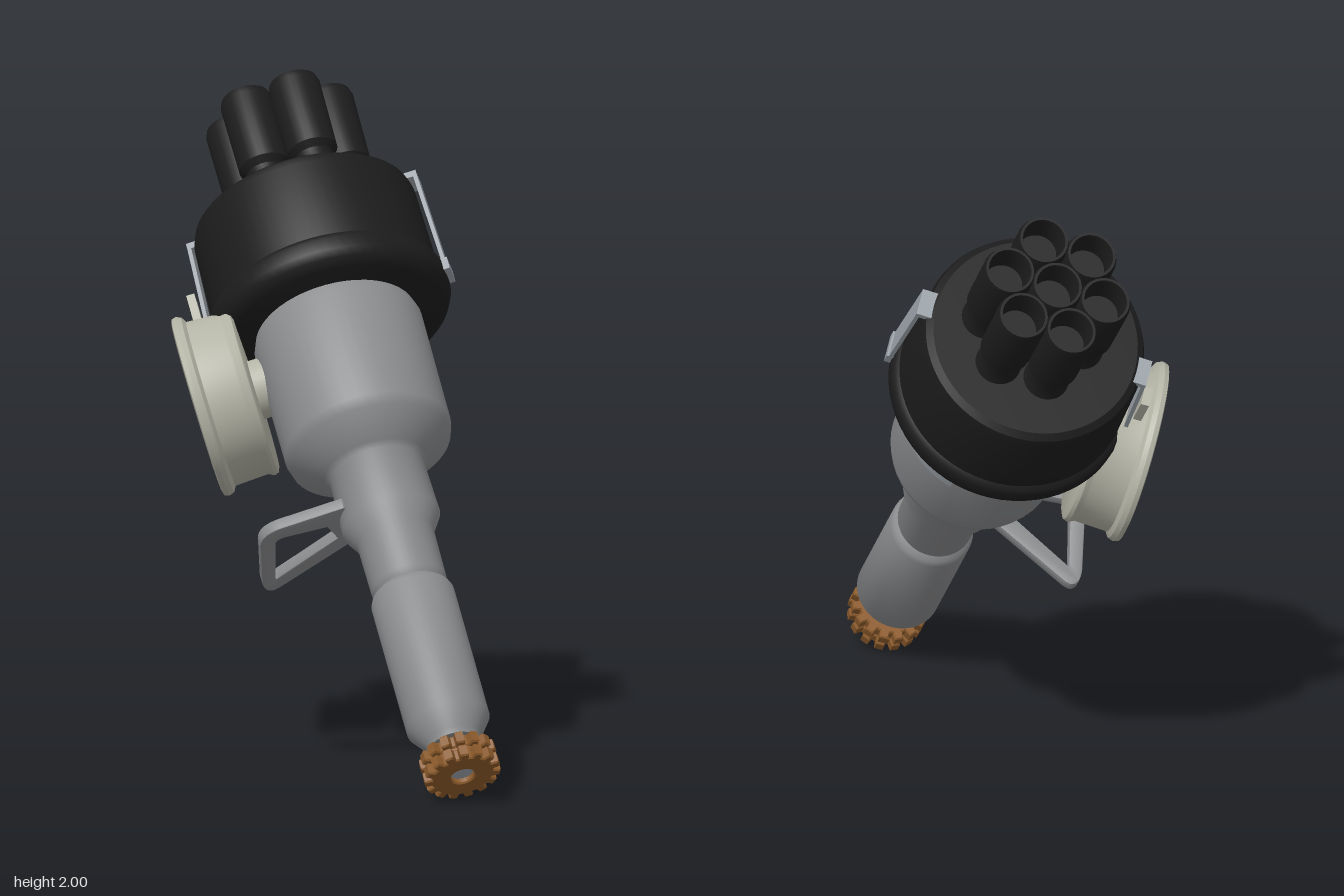
import * as THREE from 'three';
import { toCreasedNormals } from 'three/addons/utils/BufferGeometryUtils.js';

const material = (color) => new THREE.MeshStandardMaterial({ color, side: THREE.DoubleSide });
const black = material(0x1c1c1c);
const grey = material(0x8b8c8e);
const steel = material(0x9aa1a8);
const cream = material(0xb4b4a6);
const bronze = material(0x8b5a2b);

function add(parent, name, geometry, mat) {
  const mesh = new THREE.Mesh(geometry, mat);
  mesh.name = name;
  parent.add(mesh);
  return mesh;
}

// Turned part from [radius, height] pairs, bottom to top
function turned(profile, sides = 48, crease = 0.6) {
  const points = profile.map(([r, y]) => new THREE.Vector2(r, y));
  return toCreasedNormals(new THREE.LatheGeometry(points, sides), crease);
}

// Group whose +z points outward from the long axis at the given angle
function radial(parent, name, degrees, y) {
  const group = new THREE.Group();
  group.name = name;
  group.rotation.y = THREE.MathUtils.degToRad(degrees);
  group.position.y = y;
  parent.add(group);
  return group;
}

function box(parent, name, size, position, mat) {
  const mesh = add(parent, name, new THREE.BoxGeometry(...size), mat);
  mesh.position.set(...position);
  return mesh;
}

// Toothed wheel outline with a bore
function gearShape(teeth, root, tip, bore) {
  const shape = new THREE.Shape();
  const pitch = (Math.PI * 2) / teeth;
  for (let i = 0; i < teeth; i++) {
    [[0, root], [0.25, root], [0.36, tip], [0.74, tip], [0.85, root]].forEach(([f, r], k) => {
      const a = (i + f) * pitch;
      const x = Math.cos(a) * r, y = Math.sin(a) * r;
      if (i + k === 0) shape.moveTo(x, y); else shape.lineTo(x, y);
    });
  }
  shape.closePath();
  shape.holes.push(new THREE.Path().absarc(0, 0, bore, 0, Math.PI * 2, true));
  return shape;
}

export function createModel() {
  const model = new THREE.Group();
  model.name = 'rotaryTool';

  // Everything is built upright, then leaned over along the tool's long axis
  const tool = new THREE.Group();
  tool.name = 'tiltedAssembly';
  model.add(tool);
  const axis = new THREE.Vector3(-0.593, 0.728, -0.343).normalize();
  const side = new THREE.Vector3(axis.y, -axis.x, 0).normalize();
  const front = new THREE.Vector3().crossVectors(side, axis);
  tool.quaternion.setFromRotationMatrix(new THREE.Matrix4().makeBasis(side, axis, front));
  tool.position.set(0.73, 0.112, 0.45);

  // Handle, stepped neck and main housing
  add(tool, 'housing', turned([
    [0, 0.06], [0.08, 0.06], [0.085, 0.08], [0.127, 0.145], [0.127, 0.6], [0.12, 0.617],
    [0.105, 0.63], [0.115, 0.65], [0.117, 0.82], [0.15, 0.88], [0.144, 1.06],
    [0.16, 1.075], [0.245, 1.145], [0.255, 1.18], [0.257, 1.56], [0.24, 1.61], [0, 1.61],
  ], 48, 1), grey);

  // Raised curved panel on the back of the housing, just below the drum
  const start = THREE.MathUtils.degToRad(156), sweep = THREE.MathUtils.degToRad(50);
  const arc = new THREE.Shape();
  arc.absarc(0, 0, 0.276, 0, sweep, false);
  arc.absarc(0, 0, 0.24, sweep, 0, true);
  const panel = new THREE.ExtrudeGeometry(arc, { depth: 0.18, bevelEnabled: false, curveSegments: 16 });
  panel.rotateX(-Math.PI / 2).rotateY(start - Math.PI / 2);
  add(tool, 'backPanel', toCreasedNormals(panel, 0.6), steel).position.y = 1.43;

  // Drive shaft and two-row toothed wheel
  add(tool, 'shaft', new THREE.CylinderGeometry(0.038, 0.038, 0.12, 24), steel).position.y = 0.03;
  const wheel = new THREE.Group();
  wheel.name = 'toothedWheel';
  tool.add(wheel);
  for (const y of [-0.043, 0.005]) {
    const row = new THREE.ExtrudeGeometry(gearShape(15, 0.091, 0.112, 0.04), {
      depth: 0.03, bevelEnabled: true, bevelThickness: 0.005, bevelSize: 0.004, bevelSegments: 1,
    });
    row.rotateX(-Math.PI / 2);
    add(wheel, 'toothRow', row, bronze).position.y = y;
  }
  add(wheel, 'hub', turned([[0.04, -0.03], [0.09, -0.03], [0.09, 0.035], [0.04, 0.035]]), bronze);

  // Black drum with a flange at its lower edge
  add(tool, 'drum', turned([
    [0, 1.595], [0.325, 1.595], [0.355, 1.615], [0.366, 1.64], [0.366, 1.68], [0.36, 1.695],
    [0.347, 1.705], [0.34, 1.975], [0.332, 2.0], [0.312, 2.015], [0, 2.02],
  ], 64), black).position.x = -0.004;

  // Cluster of open tubes on necks: one in the middle, six around it
  const tube = turned([
    [0.077, 1.99], [0.066, 2.03], [0.06, 2.05], [0.06, 2.1], [0.077, 2.12], [0.079, 2.35],
    [0.073, 2.37], [0.065, 2.37], [0.061, 2.355], [0.059, 2.27], [0, 2.27],
  ], 28);
  const cluster = new THREE.Group();
  cluster.name = 'tubeCluster';
  cluster.position.x = 0.014;
  tool.add(cluster);
  add(cluster, 'centreTube', tube, black);
  for (let i = 0; i < 6; i++) {
    const a = (i * Math.PI) / 3 + 0.17;
    add(cluster, 'outerTube', tube, black).position.set(Math.sin(a) * 0.15, 0, Math.cos(a) * 0.15);
  }

  // Two flat clips on opposite sides of the drum
  for (const angle of [-50, 130]) {
    const clip = radial(tool, 'drumClip', angle, 0);
    const strap = box(clip, 'clipStrap', [0.085, 0.33, 0.012], [0, 1.84, 0.36], steel);
    strap.rotation.x = -0.04;
    box(clip, 'clipTopHook', [0.085, 0.02, 0.05], [0, 2.0, 0.335], steel);
    box(clip, 'clipFoot', [0.085, 0.04, 0.03], [0, 1.665, 0.364], steel);
  }

  // Flat round spool standing on the side of the housing
  const spool = radial(tool, 'sideSpool', -48, 1.465);
  const disc = turned([
    [0, 0.28], [0.24, 0.28], [0.254, 0.286], [0.259, 0.297], [0.255, 0.308], [0.25, 0.318],
    [0.255, 0.42], [0.272, 0.43], [0.278, 0.446], [0.274, 0.46], [0.258, 0.464],
    [0.24, 0.458], [0.15, 0.462], [0, 0.464],
  ], 64);
  add(spool, 'spoolDisc', disc.rotateX(Math.PI / 2), cream);
  const stub = new THREE.CylinderGeometry(0.09, 0.09, 0.1, 32).rotateX(Math.PI / 2);
  add(spool, 'spoolMount', stub, cream).position.z = 0.25;
  box(spool, 'spoolLatch', [0.06, 0.11, 0.025], [0, 0.315, 0.39], cream);

  // Flat eyelet plate with a triangular slot, set square to the neck
  const plate = new THREE.Shape();
  plate.moveTo(-0.03, 0.11);
  plate.lineTo(-0.03, 0.15);
  plate.lineTo(-0.18, 0.275);
  plate.quadraticCurveTo(-0.236, 0.316, -0.285, 0.268);
  plate.lineTo(-0.43, 0.15);
  plate.quadraticCurveTo(-0.48, 0.1, -0.425, 0.088);
  plate.lineTo(-0.09, 0);
  plate.closePath();
  const slot = new THREE.Path();
  slot.moveTo(-0.12, 0.14);
  slot.lineTo(-0.21, 0.24);
  slot.quadraticCurveTo(-0.235, 0.262, -0.262, 0.24);
  slot.lineTo(-0.4, 0.134);
  slot.quadraticCurveTo(-0.415, 0.12, -0.39, 0.118);
  slot.lineTo(-0.16, 0.065);
  slot.closePath();
  plate.holes.push(slot);
  const eyelet = new THREE.ExtrudeGeometry(plate, {
    depth: 0.028, bevelEnabled: true, bevelThickness: 0.005, bevelSize: 0.005, bevelSegments: 2,
  });
  eyelet.rotateX(Math.PI / 2);
  add(tool, 'eyelet', toCreasedNormals(eyelet, 0.6), grey).position.y = 0.95;

  return model;
}
